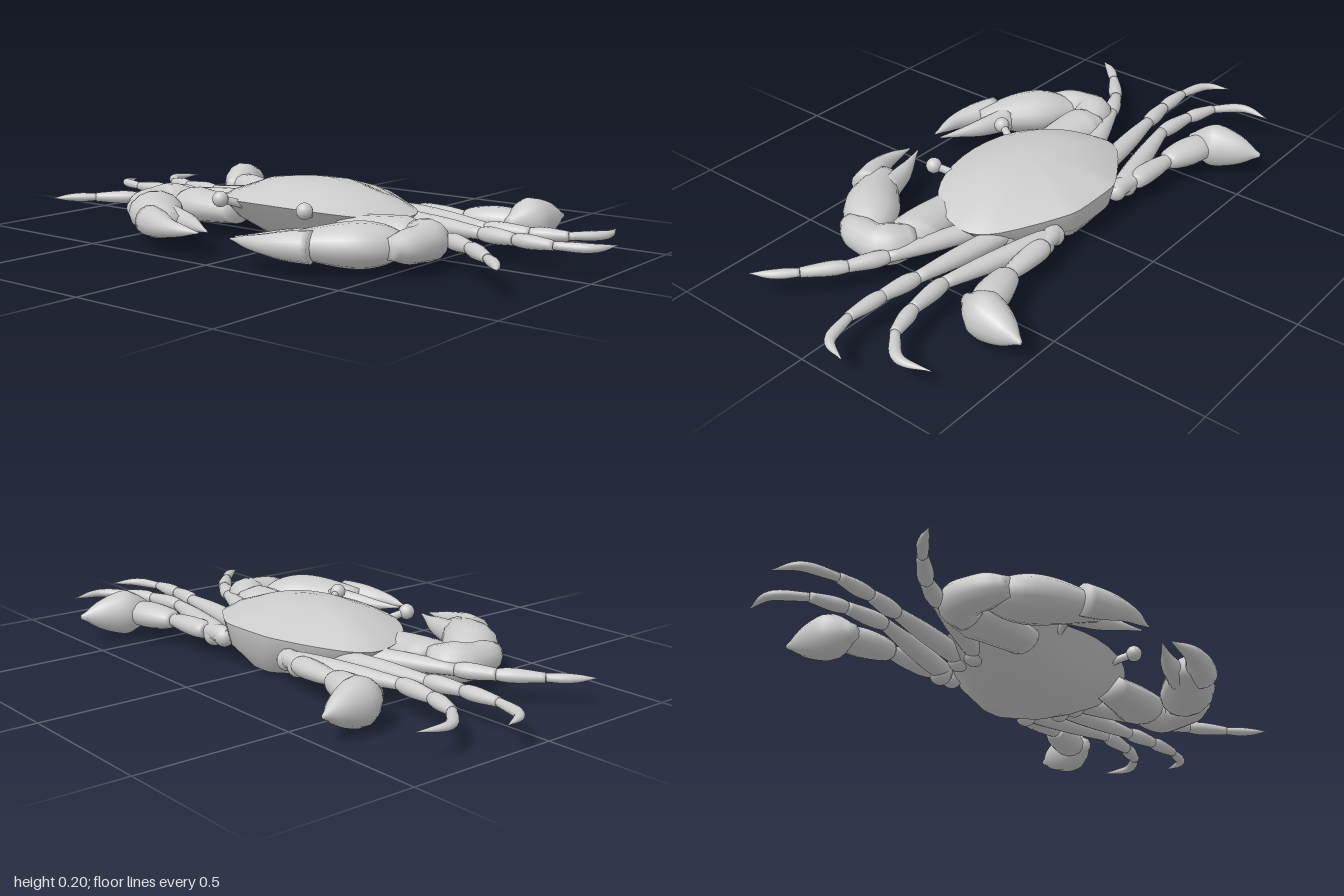
import * as THREE from 'three';
import { toCreasedNormals } from 'three/addons/utils/BufferGeometryUtils.js';

const material = new THREE.MeshStandardMaterial({ color: 0xcccccc });
const LIMB_Y = 0.083;

// Skin over a list of equal-length closed rings, capped at both ends
function loft(rings) {
  const n = rings[0].length, pos = [], idx = [];
  rings.forEach(r => r.forEach(p => pos.push(p.x, p.y, p.z)));
  for (let i = 0; i < rings.length - 1; i++) {
    for (let j = 0; j < n; j++) {
      const a = i * n + j, b = i * n + (j + 1) % n;
      idx.push(a, b, b + n, a, b + n, a + n);
    }
  }
  [0, rings.length - 1].forEach((k, end) => {
    const c = new THREE.Vector3();
    rings[k].forEach(p => c.addScaledVector(p, 1 / n));
    const ci = pos.length / 3;
    pos.push(c.x, c.y, c.z);
    for (let j = 0; j < n; j++) {
      const a = k * n + j, b = k * n + (j + 1) % n;
      idx.push(ci, end ? a : b, end ? b : a);
    }
  });
  const g = new THREE.BufferGeometry();
  g.setAttribute('position', new THREE.Float32BufferAttribute(pos, 3));
  g.setIndex(idx);
  g.computeVertexNormals();
  return g;
}

function addMesh(parent, name, geometry) {
  const m = new THREE.Mesh(geometry, material);
  m.name = name;
  parent.add(m);
  return m;
}

// Horizontal limb segment: [x, z] path, evenly spaced half widths, height to width ratio
function segment(parent, name, side, path, widths, ratio) {
  const spine = new THREE.CatmullRomCurve3(
    path.map(([x, z]) => new THREE.Vector3(x * side, LIMB_Y, z)), false, 'catmullrom');
  const profile = new THREE.SplineCurve(widths.map((w, i) => new THREE.Vector2(i, w)));
  const rings = [], steps = 14;
  for (let i = 0; i <= steps; i++) {
    const p = spine.getPoint(i / steps), t = spine.getTangent(i / steps);
    const r = profile.getPoint(i / steps).y, ring = [];
    for (let j = 0; j < 14; j++) {
      const a = j / 14 * Math.PI * 2, w = Math.cos(a) * r;
      ring.push(new THREE.Vector3(p.x + t.z * w, p.y + Math.sin(a) * r * ratio, p.z - t.x * w));
    }
    rings.push(ring);
  }
  addMesh(parent, name, loft(rings));
}

function ball(parent, name, x, y, z, r) {
  addMesh(parent, name, new THREE.SphereGeometry(r, 16, 12)).position.set(x, y, z);
}

// Shell: one outline scaled through several layers from belly to back
function shell(parent) {
  const half = [[0.15, 0.205], [0.25, 0.16], [0.32, 0.09], [0.357, 0], [0.362, -0.065],
    [0.33, -0.125], [0.23, -0.2], [0.15, -0.25], [0.1, -0.275]];
  const outline = [[0, 0.225], ...half, [0, -0.28], ...half.slice().reverse().map(([x, z]) => [-x, z])];
  const pts = new THREE.CatmullRomCurve3(
    outline.map(([x, z]) => new THREE.Vector3(x, 0, z)), true).getPoints(48).slice(0, -1);
  // [width scale, front z, back z, side y, front and back y]
  const layers = [
    [0.42, 0.09, -0.215, 0, 0],
    [0.88, 0.165, -0.265, 0.072, 0.065],
    [1, 0.225, -0.278, 0.112, 0.142],
    [0.86, 0.178, -0.22, 0.143, 0.163],
    [0.52, 0.1, -0.13, 0.185, 0.19],
    [0.22, 0.035, -0.06, 0.201, 0.201]];
  const rings = layers.map(([sx, front, back, ySide, yEnd]) => pts.map(p => {
    const u = (p.z + 0.0275) / 0.2525;
    return new THREE.Vector3(p.x * sx, ySide + (yEnd - ySide) * u * u,
      (front + back) / 2 + u * (front - back) / 2);
  }));
  addMesh(parent, 'shell', toCreasedNormals(loft(rings), 0.75));
}

// Walking leg from its joints: hip, knee, shin, tip start, tip bend, tip end
function walkingLeg(parent, name, side, joints) {
  const [hip, knee, shin, tip] = joints;
  ball(parent, name + 'Hip', side * (hip[0] + 0.02), 0.07, hip[1], 0.036);
  segment(parent, name + 'Thigh', side, [hip, knee], [0.024, 0.034, 0.032, 0.021], 0.9);
  segment(parent, name + 'Knee', side, [knee, shin], [0.017, 0.027, 0.02], 0.95);
  segment(parent, name + 'Shin', side, [shin, tip], [0.016, 0.025, 0.017], 0.9);
  segment(parent, name + 'Tip', side, joints.slice(3), [0.015, 0.018, 0.013, 0.002], 0.85);
}

function buildSide(side) {
  const group = new THREE.Group();
  group.name = side > 0 ? 'leftLimbs' : 'rightLimbs';
  const seg = (name, path, widths, ratio) => segment(group, name, side, path, widths, ratio);

  walkingLeg(group, 'frontLeg', side,
    [[0.24, -0.06], [0.575, 0.072], [0.685, 0.13], [0.795, 0.218], [0.85, 0.272], [0.892, 0.33]]);
  walkingLeg(group, 'middleLeg', side,
    [[0.24, -0.125], [0.6, -0.069], [0.725, -0.051], [0.855, -0.046], [0.96, -0.08], [0.998, -0.162]]);
  walkingLeg(group, 'rearLeg', side,
    [[0.2, -0.24], [0.57, -0.147], [0.715, -0.161], [0.825, -0.196], [0.9, -0.28], [0.885, -0.385]]);

  // Swimming leg ending in a thick paddle
  ball(group, 'swimmingLegHip', side * 0.165, 0.075, -0.24, 0.033);
  seg('swimmingLegJoint', [[0.15, -0.235], [0.255, -0.258]], [0.02, 0.03, 0.018], 1);
  seg('swimmingLegThigh', [[0.24, -0.257], [0.435, -0.268]], [0.018, 0.036, 0.034, 0.022], 0.85);
  seg('swimmingLegShin', [[0.42, -0.267], [0.605, -0.315]], [0.02, 0.043, 0.055, 0.045], 0.8);
  seg('paddle', [[0.588, -0.25], [0.615, -0.36], [0.645, -0.496]],
    [0.02, 0.048, 0.066, 0.058, 0.038, 0.006], 1.13);

  // Claw arm, hand and two fingers
  seg('clawUpperArm', [[0.22, 0.11], [0.4, 0.1], [0.48, 0.075]], [0.06, 0.075, 0.082, 0.06], 0.7);
  seg('clawWrist', [[0.455, 0.075], [0.535, 0.13], [0.54, 0.22], [0.515, 0.295]],
    [0.05, 0.07, 0.06, 0.055, 0.035], 0.92);
  seg('clawPalm', [[0.52, 0.19], [0.4, 0.31], [0.245, 0.41]],
    [0.035, 0.074, 0.09, 0.084, 0.066, 0.045], 0.77);
  seg('clawFixedFinger', [[0.33, 0.41], [0.19, 0.463], [0.065, 0.463]],
    [0.05, 0.044, 0.03, 0.018, 0.003], 1);
  seg('clawMovableFinger', [[0.31, 0.335], [0.19, 0.37], [0.058, 0.432]],
    [0.04, 0.034, 0.027, 0.014, 0.003], 1.1);

  // Eye on a short stalk
  const stalk = new THREE.LineCurve3(
    new THREE.Vector3(0.135 * side, 0.12, 0.17), new THREE.Vector3(0.173 * side, 0.147, 0.247));
  addMesh(group, 'eyeStalk', new THREE.TubeGeometry(stalk, 2, 0.013, 10));
  ball(group, 'eye', side * 0.173, 0.147, 0.249, 0.026);
  return group;
}

export function createModel() {
  const model = new THREE.Group();
  model.name = 'crab';
  shell(model);
  model.add(buildSide(1), buildSide(-1));
  return model;
}
